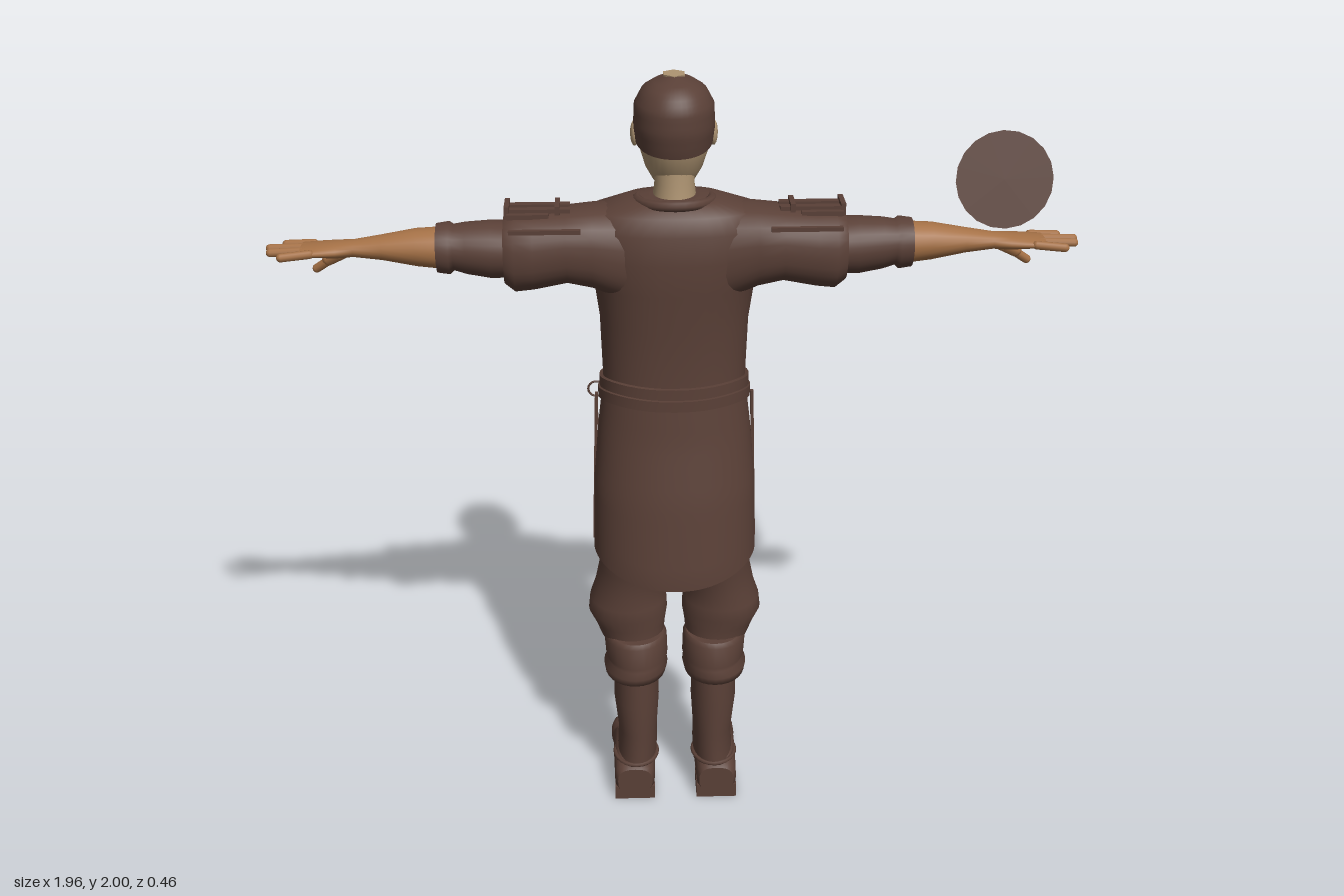
import * as THREE from 'three';

const mat = (name, color) => {
  const m = new THREE.MeshStandardMaterial({ color, side: THREE.DoubleSide });
  m.name = name;
  return m;
};

// Grid surface from rows of points; skip lists row gaps left open (for crisp caps)
function skin(rows, wrap = true, skip = []) {
  const n = rows[0].length, pos = [], idx = [];
  rows.forEach(r => r.forEach(p => pos.push(...p)));
  for (let j = 0; j < rows.length - 1; j++) {
    if (skip.includes(j)) continue;
    for (let i = 0; i < (wrap ? n : n - 1); i++) {
      const k = (i + 1) % n, a = j * n + i, b = j * n + k;
      idx.push(a, a + n, b, b, a + n, b + n);
    }
  }
  const g = new THREE.BufferGeometry();
  g.setAttribute('position', new THREE.Float32BufferAttribute(pos, 3));
  g.setIndex(idx);
  g.computeVertexNormals();
  return g;
}

// Point on a section [t, a0, a1, b0, b1] at angle a, with squareness e
function onSection([, a0, a1, b0, b1], a, e = 2) {
  const f = v => Math.sign(v) * Math.abs(v) ** (2 / e);
  return [(a0 + a1) / 2 + Math.abs(a1 - a0) / 2 * f(Math.cos(a)),
    (b0 + b1) / 2 + Math.abs(b1 - b0) / 2 * f(Math.sin(a))];
}
const order = { x: (t, a, b) => [t, a, b], y: (t, a, b) => [a, t, b], z: (t, a, b) => [b, a, t] };

// Closed solid through cross-sections along an axis; warp may shift the points
function loft(sections, axis = 'y', { n = 28, e = 2, warp = null, side = 1 } = {}) {
  const angles = Array.from({ length: n }, (_, i) => i / n * Math.PI * 2);
  const place = (t, p, a) => {
    const q = order[axis](t, ...p);
    if (warp) warp(q, a);
    return [q[0] * side, q[1], q[2]];
  };
  const rows = sections.map(s => angles.map(a => place(s[0], onSection(s, a, e), a)));
  const centre = s => angles.map(a => place(s[0], [(s[1] + s[2]) / 2, (s[3] + s[4]) / 2], a));
  const last = sections.length - 1;
  const all = [centre(sections[0]), rows[0], ...rows, rows[last], centre(sections[last])];
  return skin(all, true, [1, all.length - 3]);
}

// Interpolated section at height y from a table of descending or ascending heights
function sectionAt(table, y) {
  for (let i = 0; i < table.length - 1; i++) {
    const p = table[i], q = table[i + 1], k = (y - p[0]) / (q[0] - p[0]);
    if (k >= 0 && k <= 1) return p.map((v, j) => v + (q[j] - v) * k);
  }
  return table[table.length - 1];
}
const sym = rows => rows.map(([y, w, zb, zf]) => [y, -w, w, zf, zb]);

const TORSO = sym([[1.16, .183, .172, -.11], [1.25, .18, .165, -.115], [1.4, .185, .17, -.118], [1.5, .198, .18, -.108],
  [1.58, .225, .184, -.095], [1.65, .23, .178, -.07], [1.69, .2, .16, -.045], [1.715, .12, .135, -.02], [1.72, .06, .11, 0]]);
const SKIRT = sym([[1.2, .183, .175, -.115], [1.1, .195, .186, -.11], [.95, .208, .212, -.112], [.75, .212, .235, -.115], [.4, .2, .24, -.112]]);
const HEAD = sym([[1.735, .035, .03, -.05], [1.745, .052, .07, -.08], [1.78, .07, .1, -.092], [1.83, .084, .122, -.088], [1.88, .09, .133, -.085],
  [1.93, .088, .132, -.077], [1.965, .07, .115, -.055], [1.985, .04, .085, -.02], [1.992, .008, .04, .02]]);

export function createModel() {
  const root = new THREE.Group();
  const cloth = mat('dark brown', 0x5a4037);
  const face = mat('pale skin', 0xae9472);
  const tan = mat('tanned skin', 0xa57146);
  const add = (name, geo, m = cloth, x = 0, y = 0, z = 0) => {
    const mesh = new THREE.Mesh(geo, m);
    mesh.name = name;
    mesh.position.set(x, y, z);
    root.add(mesh);
    return mesh;
  };
  const box = (name, w, h, d, x, y, z, m = cloth) => add(name, new THREE.BoxGeometry(w, h, d), m, x, y, z);
  const rod = (name, a, b, r, m) => {
    const p = new THREE.Vector3(...a), q = new THREE.Vector3(...b), d = q.clone().sub(p);
    const mesh = add(name, new THREE.CapsuleGeometry(r, d.length(), 4, 10), m);
    mesh.position.copy(p.add(q).multiplyScalar(.5));
    mesh.quaternion.setFromUnitVectors(new THREE.Vector3(0, 1, 0), d.normalize());
  };

  // Head, neck and face
  add('head', loft(HEAD, 'y', { n: 32, e: 2.15 }), face);
  add('neck', loft(sym([[1.69, .055, .11, -.01], [1.75, .048, .1, -.005], [1.83, .05, .1, -.01]])), face);
  const nose = add('nose', new THREE.ConeGeometry(.017, .055, 8), face, 0, 1.85, -.093);
  nose.scale.z = 1.3;
  for (const s of [-1, 1]) {
    const ear = add('ear', new THREE.SphereGeometry(.03, 12, 8), face, s * .094, 1.86, .02);
    ear.scale.set(.35, 1.05, .65);
    box('eye', .022, .009, .008, s * .034, 1.872, -.077);
    box('eyebrow', .034, .007, .01, s * .035, 1.892, -.076);
    const tache = box('moustache', .038, .014, .02, s * .018, 1.808, -.091);
    tache.rotation.set(0, -s * .25, -s * .3);
    box('beardSide', .01, .04, .016, s * .034, 1.783, -.084);
  }
  const goatee = add('goatee', new THREE.SphereGeometry(.03, 12, 8), cloth, 0, 1.76, -.077);
  goatee.scale.set(1, .8, .8);

  // Hair cap with a hairline that rises over the forehead
  const hairRows = [];
  for (let j = 0; j <= 14; j++) {
    hairRows.push(Array.from({ length: 48 }, (_, i) => {
      const a = i / 48 * Math.PI * 2, s = Math.sin(a);
      const low = s > -.35 ? 1.825 + .02 * (1 - s) : s > -.6 ? 1.9 : 1.945;
      const y = low + (1.992 - low) * j / 14;
      const [x, z] = onSection(sectionAt(HEAD, y), a, 2.15);
      return [x * 1.08, y + .008 * j / 14, .025 + (z - .025) * 1.07];
    }));
  }
  add('hair', skin(hairRows));
  const bald = add('baldPatch', new THREE.CylinderGeometry(.029, .029, .004, 6), face, 0, 1.999, .015);
  bald.scale.z = 1.1;

  // Tunic body and its open skirt with a pointed front hem
  add('tunic', loft(TORSO, 'y', { n: 40, e: 2.3 }));
  add('collar', new THREE.TorusGeometry(.09, .013, 8, 28).rotateX(Math.PI / 2 - .1), cloth, 0, 1.708, .055);
  const skirtRows = [];
  for (let j = 0; j <= 16; j++) {
    skirtRows.push(Array.from({ length: 81 }, (_, i) => {
      const a = -Math.PI / 2 + i / 80 * Math.PI * 2, s = Math.sin(a);
      const f = Math.min(1, Math.max(0, (-s - .35) / .57));
      const hem = s > 0 ? .765 - .05 * s * s : -s > .99 ? .72 : .75 - .31 * f;
      const y = 1.2 + (hem - 1.2) * j / 16;
      const [x, z] = onSection(sectionAt(SKIRT, y), a, 2.2);
      return [x, y, z];
    }));
  }
  add('skirt', skin(skirtRows, false));
  for (const s of [-1, 1]) {
    const seam = box('sideSeam', .008, .42, .012, s * .204, .98, .035);
    seam.rotation.z = s * .03;
  }

  // Belts, tilted down to the front
  for (const [y, w] of [[1.195, .01], [1.225, .006]]) {
    add('belt', loft([[y - .014, -.183 - w, .183 + w, -.118 - w, .17 + w], [y + .014, -.183 - w, .183 + w, -.118 - w, .17 + w]],
      'y', { n: 40, e: 2.3, warp: (p, a) => { p[1] += .022 * Math.sin(a) + .005 * Math.sin(3 * a); } }));
  }
  const buckle = add('buckle', new THREE.TorusGeometry(.028, .006, 6, 4), cloth, .03, 1.19, -.132);
  buckle.rotation.z = Math.PI / 4;
  box('beltTail', .022, .68, .008, .036, .84, -.126);
  box('beltTail', .02, .58, .008, .068, .89, -.122);

  // Ragged chest placket following the front of the tunic
  const trim = [];
  for (let j = 0; j <= 24; j++) {
    const y = 1.25 + .43 * j / 24, w = (j % 2 ? .03 : .055) + .02 * j / 24;
    const sec = sectionAt(TORSO, y);
    trim.push([-1, -.5, 0, .5, 1].map(k => {
      const x = k * w, a = -Math.acos(Math.sign(x) * Math.abs(x / sec[2]) ** 1.15);
      return [x, y, onSection(sec, a, 2.3)[1] - .007];
    }));
  }
  add('placket', skin(trim, false));
  for (let i = 0; i < 5; i++) box('clasp', .05, .012, .014, 0, 1.3 + i * .065, -.126 + i * i * .0016);

  // Key ring hanging at the hip
  add('keyRing', new THREE.TorusGeometry(.021, .003, 6, 18), cloth, -.2, 1.12, -.14);
  rod('key', [-.2, 1.1, -.14], [-.2, 1.02, -.138], .004, cloth);
  box('keyBit', .018, .018, .005, -.194, 1.025, -.138);

  for (const side of [-1, 1]) {
    const o = { side };
    // Sleeves
    add('upperSleeve', loft([[.1, 1.45, 1.705, -.05, .165], [.2, 1.5, 1.7, -.035, .178], [.26, 1.515, 1.695, -.025, .178], [.34, 1.5, 1.69, -.02, .18],
      [.385, 1.495, 1.69, -.02, .18], [.41, 1.515, 1.675, -.008, .168]], 'x', { side, e: 2.3 }));
    add('lowerSleeve', loft([[.38, 1.53, 1.665, .01, .16], [.44, 1.528, 1.668, .015, .16], [.5, 1.54, 1.665, .025, .155],
      [.53, 1.55, 1.66, .03, .15], [.54, 1.54, 1.667, .025, .155], [.57, 1.545, 1.663, .03, .153]], 'x', o));
    // Shoulder straps with small buckles
    for (const z of [.062, .1]) box('shoulderStrap', .15, .01, .02, side * .325, 1.697, z);
    box('shoulderPlate', .1, .012, .09, side * .35, 1.688, .08);
    for (const x of [.28, .4]) box('strapBuckle', .012, .03, .07, side * x, 1.695, .08);
    box('shoulderSeam', .17, .01, .012, side * .31, 1.665, .164);
    // Forearm and hand
    add('forearm', loft([[.55, 1.552, 1.655, .04, .14], [.62, 1.56, 1.65, .037, .138], [.7, 1.575, 1.635, .045, .125],
      [.77, 1.583, 1.623, .052, .114], [.81, 1.582, 1.62, .042, .123], [.86, 1.587, 1.615, .036, .13], [.895, 1.592, 1.611, .038, .128]], 'x', { side, n: 20 }), tan);
    [[.945, .036, .042], [.98, .065, .07], [.975, .096, .098], [.945, .132, .122]].forEach(([x, z, z0]) =>
      rod('finger', [side * .87, 1.602, z0], [side * (x - .008), 1.598, z], .0105, tan));
    rod('thumbBase', [side * .78, 1.593, .06], [side * .84, 1.558, .035], .016, tan);
    rod('thumb', [side * .83, 1.562, .04], [side * .873, 1.53, .022], .011, tan);
    // Breeches and knee cuff
    add('breeches', loft([[.9, .005, .19, -.07, .18], [.76, .012, .195, -.06, .17], [.7, .025, .2, -.055, .155], [.64, .03, .212, -.06, .148],
      [.6, .022, .226, -.06, .15], [.565, .02, .23, -.045, .15], [.53, .026, .212, -.025, .14], [.49, .03, .195, -.015, .14]], 'y', o));
    add('kneeCuff', loft([[.505, .03, .18, -.01, .16], [.495, .022, .19, -.02, .172], [.44, .02, .186, -.025, .182], [.425, .024, .18, -.018, .176],
      [.41, .02, .192, -.028, .188], [.385, .026, .188, -.015, .176], [.38, .045, .17, 0, .16]], 'y', o));
    // Boot: shaft, foot, heel and laces
    add('bootShaft', loft([[.42, .045, .165, -.002, .155], [.3, .044, .166, -.002, .16], [.2, .05, .155, .008, .155],
      [.13, .05, .158, -.015, .155], [.08, .052, .165, -.03, .158]], 'y', o));
    add('foot', loft([[.163, .02, .1, .065, .16], [.15, .015, .11, .058, .168], [.07, .015, .15, .055, .17], [0, .02, .145, .055, .17], [-.03, .02, .118, .055, .172],
      [-.07, .014, .085, .056, .176], [-.12, .01, .068, .06, .176], [-.155, .012, .06, .075, .168], [-.172, .025, .045, .095, .15]], 'z', { side, n: 24, e: 2.6 }));
    box('heel', .11, .04, .1, side * .113, .02, .11);
    const ankle = add('ankleStrap', new THREE.TorusGeometry(.058, .006, 6, 24).rotateX(Math.PI / 2), cloth, side * .108, .11, .085);
    ankle.scale.z = 1.2;
    for (let i = 0; i < 5; i++) box('lace', .05, .008, .012, side * .105, .18 + i * .04, .002);
  }

  // Tapered bucket, closed at the wide end and open at the narrow one
  const wide = new THREE.Vector3(.8, 1.737, .03), narrow = new THREE.Vector3(.815, 1.667, -.212);
  const axis = wide.clone().sub(narrow), len = axis.length();
  const bucket = new THREE.Group();
  bucket.name = 'bucket';
  const wall = new THREE.CylinderGeometry(.118, .062, len, 20, 1, true).toNonIndexed();
  wall.computeVertexNormals();
  const base = new THREE.CircleGeometry(.118, 20).rotateX(-Math.PI / 2).translate(0, len / 2, 0);
  for (const [name, g] of [['bucketWall', wall], ['bucketBase', base]]) {
    const m = new THREE.Mesh(g, cloth);
    m.name = name;
    bucket.add(m);
  }
  bucket.position.copy(wide).add(narrow).multiplyScalar(.5);
  bucket.quaternion.setFromUnitVectors(new THREE.Vector3(0, 1, 0), axis.normalize());
  root.add(bucket);
  return root;
}
